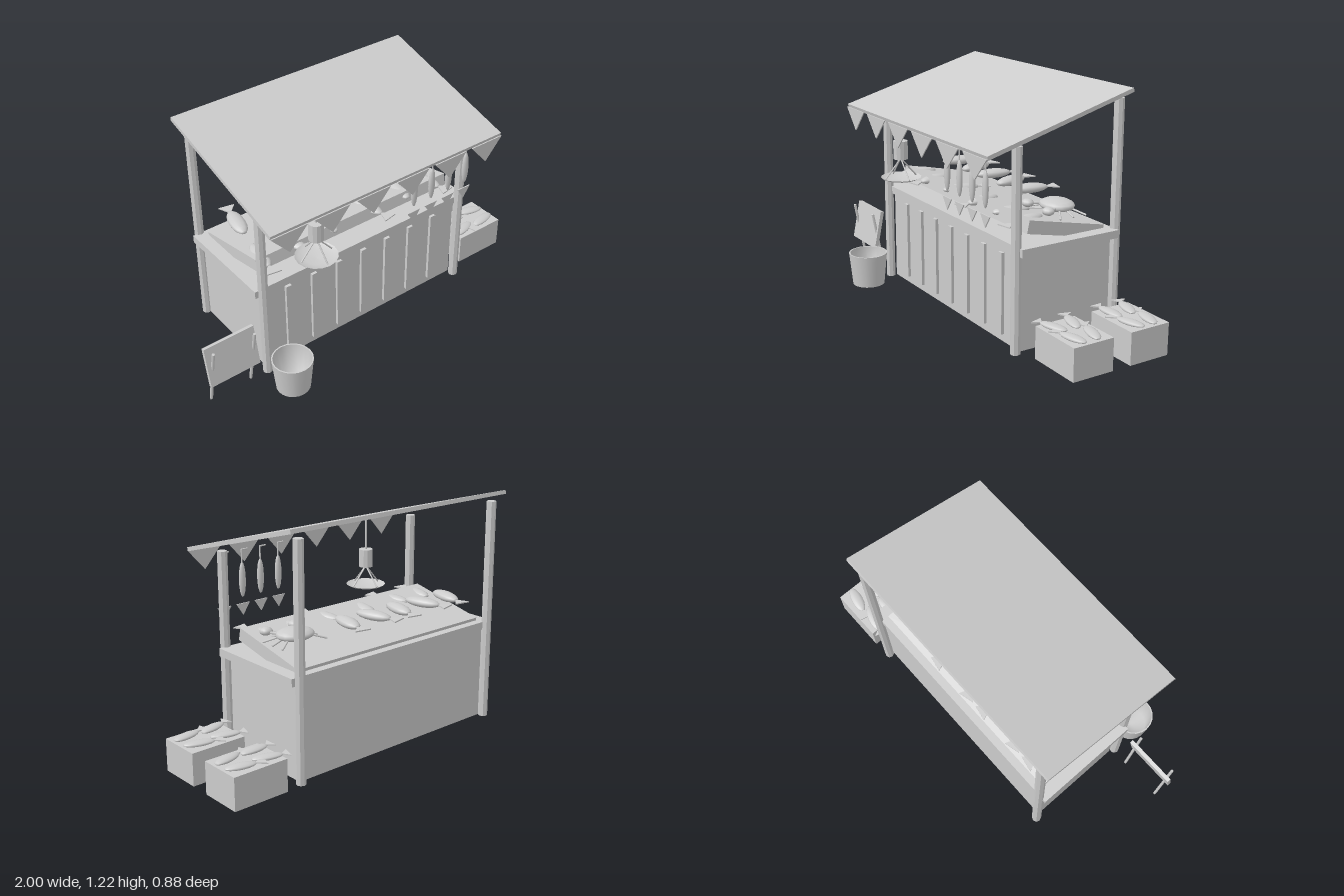
import * as THREE from 'three';

const grey = new THREE.MeshStandardMaterial({ color: 0xcccccc });
grey.name = 'plain grey';
const greyOpen = grey;
greyOpen.side = THREE.DoubleSide;

const CX = -0.017; // middle of the stall

export function createModel() {
  const root = new THREE.Group();
  root.name = 'marketStall';

  function add(name, geo, x = 0, y = 0, z = 0, parent = root) {
    const m = new THREE.Mesh(geo, grey);
    m.name = name;
    m.position.set(x, y, z);
    parent.add(m);
    return m;
  }
  const box = (name, w, h, d, x, y, z, parent) => add(name, new THREE.BoxGeometry(w, h, d), x, y, z, parent);
  const flat = (geo) => {
    const g = geo.toNonIndexed();
    g.computeVertexNormals();
    return g;
  };

  // thin triangular plate through three points in the xy plane
  function triangle(a, b, c, t) {
    const s = new THREE.Shape([a, b, c].map((p) => new THREE.Vector2(...p)));
    return new THREE.ExtrudeGeometry(s, { depth: t, bevelEnabled: false }).translate(0, 0, -t / 2);
  }

  // thin round bar between two points
  function rod(name, a, b, r, parent) {
    const p = new THREE.Vector3(...a), q = new THREE.Vector3(...b);
    const m = add(name, new THREE.CylinderGeometry(r, r, p.distanceTo(q), 6), 0, 0, 0, parent);
    m.position.copy(p).add(q).multiplyScalar(0.5);
    m.quaternion.setFromUnitVectors(new THREE.Vector3(0, 1, 0), q.sub(p).normalize());
    return m;
  }

  // lying fish, head along its own +x
  function fish(name, x, y, z, turn, len, h, w, tailEnd, tailW) {
    const g = new THREE.Group();
    g.name = name;
    g.position.set(x, y, z);
    g.rotation.y = turn;
    root.add(g);
    add('fishBody', new THREE.SphereGeometry(1, 12, 8).rotateZ(Math.PI / 2).scale(len / 2, h, w), 0, 0, 0, g);
    const tail = triangle([-len * 0.44, 0], [-tailEnd, tailW / 2], [-tailEnd, -tailW / 2], 0.006);
    add('fishTail', tail.rotateX(Math.PI / 2), 0, 0, 0, g);
  }

  // counter
  box('counterBody', 1.24, 0.485, 0.525, CX, 0.2425, -0.122);
  box('counterTop', 1.337, 0.04, 0.562, CX, 0.505, -0.116);
  for (let i = -3; i <= 3; i++) box('frontSlat', 0.032, 0.415, 0.018, CX + i * 0.156, 0.247, 0.147);

  // tilted display tray
  const tray = box('displayTray', 1.203, 0.065, 0.448, CX, 0.556, -0.132);
  tray.rotation.x = -0.21;

  // posts
  for (const s of [-1, 1]) {
    for (const [h, z] of [[1.003, 0.172], [1.165, -0.405]]) {
      add('post', flat(new THREE.CylinderGeometry(0.025, 0.025, h, 8)), CX + s * 0.628, h / 2, z);
    }
  }

  // sloping roof and pennants
  const roof = box('roof', 1.393, 0.02, 0.835, -0.02, 1.096, -0.033);
  roof.rotation.x = 0.27;
  for (let i = 0; i < 6; i++) {
    add('pennant', triangle([-0.1, 0.98], [0, 0.868], [0.1, 0.98], 0.006), -0.618 + i * 0.239, 0, 0.374);
  }

  // hanging fish
  for (let i = 0; i < 4; i++) {
    const x = 0.19 + i * 0.113, z = 0.287;
    rod('fishString', [x, 0.88, z], [x, 0.958, z], 0.004);
    rod('fishHook', [x - 0.035, 0.957, z], [x, 0.957, z], 0.004);
    add('hangingFish', new THREE.SphereGeometry(1, 12, 8).scale(0.019, 0.091, 0.014), x, 0.802, z);
    add('hangingTail', triangle([-0.04, 0.68], [0, 0.62], [0.04, 0.68], 0.006), x, 0, z);
  }

  // hanging scale
  const scale = new THREE.Group();
  scale.name = 'hangingScale';
  scale.position.set(-0.375, 0, 0.238);
  root.add(scale);
  rod('scaleCord', [0, 0.84, 0], [0, 1.01, 0], 0.005, scale);
  add('scaleBody', flat(new THREE.CylinderGeometry(0.038, 0.038, 0.097, 12)), 0, 0.793, 0, scale);
  for (let i = 0; i < 4; i++) {
    const a = (i * Math.PI) / 2;
    rod('scaleArm', [0, 0.748, 0], [0.09 * Math.cos(a), 0.645, 0.09 * Math.sin(a)], 0.004, scale);
  }
  const pan = [[0, 0.627], [0.055, 0.63], [0.09, 0.638], [0.107, 0.648]].map((p) => new THREE.Vector2(...p));
  add('scalePan', new THREE.LatheGeometry(pan, 16), 0, 0, 0, scale);

  // fish on the tray: a rear row above it, a front row half sunk into it
  for (let i = 0; i < 5; i++) {
    fish('rearFish', -0.53 + i * 0.172, 0.645, -0.215, -Math.PI / 2 + (i % 2 ? 0.25 : -0.2), 0.2, 0.025, 0.042, 0.15, 0.085);
  }
  [-0.56, -0.38, -0.145, 0.1, 0.325, 0.49].forEach((x, i) => {
    const out = i === 2 || i === 4 ? -1 : 1;
    fish('frontFish', x, 0.606, out < 0 ? 0.01 : 0.03, (out * Math.PI) / 2 + (i % 2 ? 0.2 : -0.15), 0.2, 0.023, 0.038, 0.155, 0.08);
  });

  // crab
  const crab = new THREE.Group();
  crab.name = 'crab';
  crab.position.set(0.45, 0.64, -0.172);
  root.add(crab);
  add('crabShell', new THREE.SphereGeometry(1, 14, 8).scale(0.1, 0.03, 0.082), 0, 0, 0, crab);
  for (const s of [-1, 1]) {
    add('crabClaw', new THREE.SphereGeometry(1, 10, 6).scale(0.034, 0.02, 0.03), s * 0.085, 0.003, 0.112, crab);
    rod('crabArm', [s * 0.06, 0, 0.05], [s * 0.085, 0, 0.1], 0.007, crab);
    for (let i = -1; i <= 1; i++) {
      rod('crabLeg', [s * 0.07, -0.01, i * 0.035], [s * 0.135, -0.032, i * 0.075], 0.005, crab);
    }
  }

  // crates with fish
  for (const [cz, rows] of [
    [0.0125, [[-0.037, -0.28, -0.28], [0.07, 0.28, 0.2]]],
    [-0.314, [[-0.364, -0.28, -0.22], [-0.262, 0.05, 0.25]]],
  ]) {
    box('crate', 0.294, 0.165, 0.224, 0.853, 0.0825, cz);
    for (const [z, a, b] of rows) {
      fish('crateFish', 0.772, 0.174, z, a, 0.155, 0.013, 0.031, 0.104, 0.07);
      fish('crateFish', 0.92, 0.174, z, b, 0.155, 0.013, 0.031, 0.12, 0.07);
    }
  }

  // bucket, open at the top
  const side = [[0, 0], [0.087, 0], [0.087, 0], [0.105, 0.178], [0.105, 0.178], [0.098, 0.178], [0.098, 0.178], [0.082, 0.012], [0, 0.012]];
  add('bucket', new THREE.LatheGeometry(side.map((p) => new THREE.Vector2(...p)), 20), -0.602, 0, 0.334);

  // notice board leaning back, on legs that cross through it
  const board = box('noticeBoard', 0.278, 0.215, 0.02, -0.861, 0.247, 0.201);
  board.rotation.x = -0.2;
  for (const x of [-0.973, -0.743]) rod('boardLeg', [x, 0.002, 0.165], [x, 0.342, 0.23], 0.008);

  return root;
}
